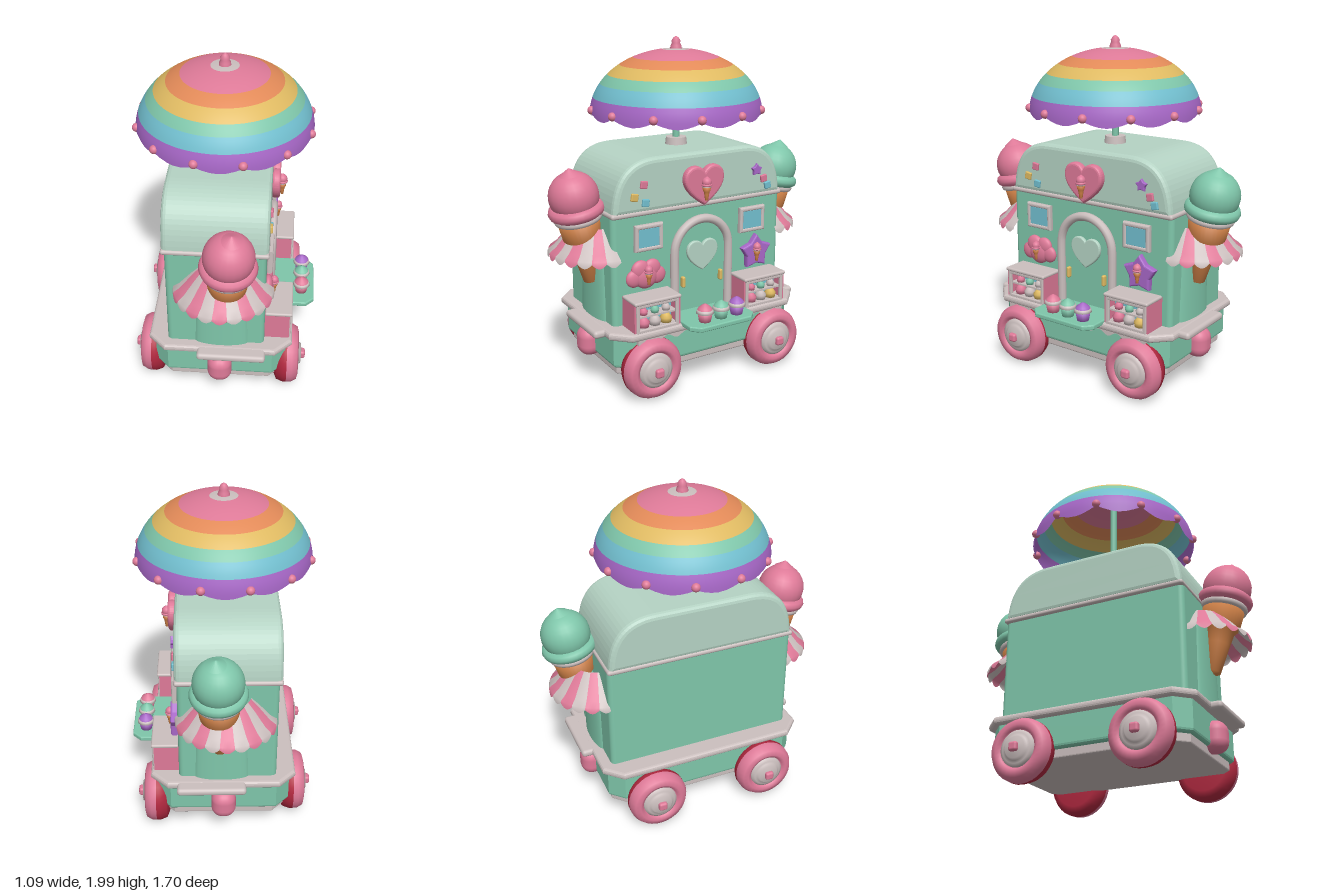
import * as THREE from 'three';
import { RoundedBoxGeometry } from 'three/addons/geometries/RoundedBoxGeometry.js';

const mat = (name, color) => {
  const m = new THREE.MeshStandardMaterial({ color, side: THREE.DoubleSide });
  m.name = name;
  return m;
};
const mint = mat('mint', 0x7fc6aa), pale = mat('pale mint', 0xb5d3c4), pink = mat('pink', 0xde7a98),
  cream = mat('warm grey', 0xcbbfbe), waffle = mat('waffle', 0xd28349), purple = mat('purple', 0xa868c8),
  blue = mat('sky blue', 0x72bfcf), yellow = mat('yellow', 0xdfba62), red = mat('dark red', 0xb0283f),
  orange = mat('orange', 0xe28a58);

const V = (x, y) => new THREE.Vector2(x, y);
function add(parent, name, geo, material, x = 0, y = 0, z = 0) {
  const m = new THREE.Mesh(geo, material);
  m.name = name;
  m.position.set(x, y, z);
  parent.add(m);
  return m;
}
function group(parent, name, x = 0, y = 0, z = 0) {
  const g = new THREE.Group();
  g.name = name;
  g.position.set(x, y, z);
  parent.add(g);
  return g;
}
const rbox = (w, h, d, r) => new RoundedBoxGeometry(w, h, d, 4, r);
const ball = (r) => new THREE.SphereGeometry(r, 24, 16);
const lathe = (pts, n = 32) => new THREE.LatheGeometry(pts.map((p) => V(p[0], p[1])), n);

// Extrusion whose bevel stays inside the given depth
function plate(shape, depth, b = 0) {
  const g = new THREE.ExtrudeGeometry(shape, {
    depth: depth - 2 * b, bevelEnabled: b > 0, bevelSize: b, bevelThickness: b, bevelOffset: -b,
    bevelSegments: 3, curveSegments: 16 });
  return g.translate(0, 0, b);
}
function rectShape(w, h) {
  return new THREE.Shape([V(-w / 2, -h / 2), V(w / 2, -h / 2), V(w / 2, h / 2), V(-w / 2, h / 2)]);
}
function frameShape(w, h, t) {
  const s = rectShape(w, h);
  s.holes.push(rectShape(w - 2 * t, h - 2 * t));
  return s;
}
// Points along an arch: up one side, over the top and down the other
function archPoints(r, y0, y1) {
  const p = [V(r, y0), V(r, (y0 + y1) / 2)];
  for (let i = 0; i <= 16; i++) p.push(V(r * Math.cos((i * Math.PI) / 16), y1 + r * Math.sin((i * Math.PI) / 16)));
  p.push(V(-r, (y0 + y1) / 2), V(-r, y0));
  return p;
}
function heartShape(w) {
  const s = new THREE.Shape();
  s.moveTo(0, -0.46 * w);
  s.bezierCurveTo(0.25 * w, -0.3 * w, 0.5 * w, -0.1 * w, 0.5 * w, 0.14 * w);
  s.bezierCurveTo(0.5 * w, 0.46 * w, 0.12 * w, 0.5 * w, 0, 0.3 * w);
  s.bezierCurveTo(-0.12 * w, 0.5 * w, -0.5 * w, 0.46 * w, -0.5 * w, 0.14 * w);
  s.bezierCurveTo(-0.5 * w, -0.1 * w, -0.25 * w, -0.3 * w, 0, -0.46 * w);
  return s;
}
function starShape(r) {
  const p = [];
  for (let i = 0; i < 10; i++) {
    const a = Math.PI / 2 + (i * Math.PI) / 5, q = i % 2 ? r * 0.64 : r;
    p.push(V(q * Math.cos(a), q * Math.sin(a)));
  }
  return new THREE.Shape(p);
}
// Flat slab with clipped corners, standing between two heights
function octagonSlab(hx, hz, c, y0, y1, b) {
  const s = new THREE.Shape([V(hx, c - hz), V(hx, hz - c), V(hx - c, hz), V(c - hx, hz),
    V(-hx, hz - c), V(-hx, c - hz), V(c - hx, -hz), V(hx - c, -hz)]);
  return plate(s, y1 - y0, b).rotateX(-Math.PI / 2).translate(0, y0, 0);
}

// Ice cream cone, tip at the origin, about 0.69 tall
function iceCream(parent, name, scoopMat, scale, x, y, z) {
  const g = group(parent, name, x, y, z);
  add(g, 'waffleCone', lathe([[0, 0], [0.045, 0.01], [0.07, 0.18], [0.085, 0.26], [0.11, 0.29], [0.125, 0.42], [0, 0.42]]), waffle);
  add(g, 'creamCollar', new THREE.TorusGeometry(0.118, 0.022, 8, 28).rotateX(Math.PI / 2), cream, 0, 0.412, 0);
  add(g, 'scoop', ball(0.143), scoopMat, 0, 0.538, 0);
  add(g, 'scoopRim', new THREE.TorusGeometry(0.126, 0.036, 10, 32).rotateX(Math.PI / 2), scoopMat, 0, 0.458, 0);
  add(g, 'scoopPeak', new THREE.ConeGeometry(0.06, 0.04, 20), scoopMat, 0.01, 0.69, 0);
  g.scale.setScalar(scale);
  return g;
}

// Striped half-ring awning with scalloped edge, opening toward +z
function awning(parent) {
  const g = group(parent, 'awning'), n = 11, span = Math.PI;
  for (let i = 0; i < n; i++) {
    const geo = new THREE.LatheGeometry([V(0.14, 0.97), V(0.18, 0.93), V(0.25, 0.85), V(0.285, 0.825), V(0.29, 0.805)],
      6, -span / 2 + (i * span) / n, span / n);
    const p = geo.attributes.position;
    for (let k = 4; k < p.count; k += 5) p.setY(k, 0.812 - 0.025 * Math.sin((Math.floor(k / 5) / 6) * Math.PI));
    geo.computeVertexNormals();
    add(g, 'awningStripe', geo, i % 2 ? pink : cream);
  }
  return g;
}

function wheel(parent, side, z) {
  const g = group(parent, 'wheel', side > 0 ? 0.39 : -0.435, 0.187, z);
  add(g, 'innerTyre', lathe([[0, -0.075], [0.13, -0.075], [0.165, -0.06], [0.18, -0.02], [0.18, 0]]), red);
  add(g, 'outerTyre', lathe([[0.18, 0], [0.178, 0.03], [0.16, 0.062], [0.13, 0.07], [0.11, 0.06], [0.1, 0.04], [0, 0.04]]), pink);
  add(g, 'hub', lathe([[0.104, 0.04], [0.102, 0.06], [0.085, 0.068], [0.07, 0.07], [0.06, 0.085], [0, 0.092]]), cream);
  add(g, 'hubCap', rbox(0.052, 0.04, 0.052, 0.014), pink, 0, 0.092, 0);
  g.rotation.z = (-side * Math.PI) / 2;
}

function umbrella(parent) {
  const g = group(parent, 'umbrella', -0.02, 0, 0);
  const radii = [0, 0.08, 0.25, 0.33, 0.4, 0.445, 0.488, 0.508];
  [cream, pink, orange, yellow, mint, blue, purple].forEach((m, i) => {
    const a0 = Math.asin(radii[i] / 0.508), a1 = Math.asin(radii[i + 1] / 0.508), pts = [];
    for (let k = 4; k >= 0; k--) {
      const a = a0 + ((a1 - a0) * k) / 4;
      pts.push(V(0.508 * Math.sin(a), 1.55 + 0.38 * Math.cos(a)));
    }
    const geo = new THREE.LatheGeometry(pts, 72);
    if (m === purple) {
      // Scallops hang between the beads and curl slightly inward
      const p = geo.attributes.position;
      for (let k = 0; k < p.count; k += 5) {
        const drop = Math.abs(Math.cos(6 * Math.atan2(p.getX(k), p.getZ(k)))), r = 1 - 0.03 * drop;
        p.setXYZ(k, p.getX(k) * r, 1.575 - 0.036 * drop, p.getZ(k) * r);
      }
    }
    add(g, 'canopyBand', geo, m);
  });
  for (let i = 0; i < 12; i++) {
    const a = ((i + 0.5) * Math.PI) / 6;
    add(g, 'canopyBead', ball(0.025), pink, 0.503 * Math.sin(a), 1.59, 0.503 * Math.cos(a));
  }
  add(g, 'pole', new THREE.CylinderGeometry(0.021, 0.021, 0.55, 16), mint, 0, 1.655, 0);
  add(g, 'poleBase', new THREE.CylinderGeometry(0.06, 0.066, 0.05, 24), cream, 0, 1.387, 0);
  add(g, 'finial', lathe([[0.036, 1.92], [0.032, 1.945], [0.024, 1.96], [0.027, 1.972], [0.016, 1.99], [0, 2]], 16), pink);
}

// Glazed case of cakes
function displayCase(parent, x) {
  const g = group(parent, 'displayCase', x, 0.495, 0);
  add(g, 'caseShell', plate(frameShape(0.296, 0.19, 0.014), 0.145), pink);
  add(g, 'caseTop', rbox(0.3, 0.022, 0.16, 0.01), cream, 0, 0.093, 0.08);
  add(g, 'caseFrame', plate(frameShape(0.276, 0.172, 0.022), 0.02, 0.006), cream, 0, 0, 0.133);
  add(g, 'caseBack', new THREE.BoxGeometry(0.27, 0.165, 0.008), blue, 0, 0, 0.06);
  [-0.068, 0.005].forEach((y) => add(g, 'caseShelf', new THREE.BoxGeometry(0.25, 0.01, 0.08), cream, 0, y, 0.1));
  [[pink, cream, yellow], [pink, mint, cream]].forEach((row, j) => row.forEach((m, i) => {
    const cake = add(g, 'cake', lathe([[0, 0], [0.03, 0], [0.036, 0.03], [0.02, 0.05], [0, 0.058]], 16), m, (i - 1) * 0.073, -0.064 + j * 0.073, 0.11);
    if (j) cake.scale.setScalar(0.72);
  }));
}

// Everything mounted on the serving wall; local z points away from the wall
function servingSide(parent) {
  const g = group(parent, 'servingSide', 0.25, 0, 0);
  g.rotation.y = Math.PI / 2;

  const path = new THREE.CatmullRomCurve3(archPoints(0.186, 0.41, 0.79).map((p) => new THREE.Vector3(p.x, p.y, 0)));
  add(g, 'doorFrame', new THREE.TubeGeometry(path, 64, 0.026, 10), cream, 0, 0, 0.022);
  add(g, 'doorPanel', plate(new THREE.Shape(archPoints(0.18, 0.42, 0.79)), 0.015), mint);
  add(g, 'doorHeart', plate(heartShape(0.21), 0.025, 0.008), pale, 0, 0.76, 0.01);
  [-1, 1].forEach((s) => {
    add(g, 'doorHandle', rbox(0.022, 0.065, 0.03, 0.008), yellow, s * 0.13, 0.61, 0.025);

    // Windows and cases either side of the door
    add(g, 'windowFrame', plate(frameShape(0.18, 0.155, 0.025), 0.035, 0.01), cream, s * 0.355, 0.92, 0);
    add(g, 'windowPane', rbox(0.134, 0.11, 0.008, 0.003), blue, s * 0.355, 0.92, 0.026);
    displayCase(g, s * 0.37);
  });

  // Serving shelf with cupcakes
  add(g, 'shelf', octagonSlab(0.22, 0.15, 0.05, 0.398, 0.428, 0.008), mint, 0, 0, 0.145);
  [[-0.1, pink], [0.01, mint], [0.12, purple]].forEach(([x, m]) => {
    const c = group(g, 'cupcake', x, 0.425, 0.215);
    add(c, 'cup', lathe([[0, 0], [0.034, 0], [0.044, 0.055], [0, 0.055]], 20), m);
    add(c, 'icing', lathe([[0.04, 0.05], [0.052, 0.055], [0.048, 0.07], [0.035, 0.08]], 20), cream);
    add(c, 'frosting', lathe([[0.046, 0.066], [0.038, 0.085], [0.015, 0.103], [0, 0.11]], 20), m);
  });

  // Cloud, star and heart signs
  const cloud = group(g, 'cloudSign', -0.37, 0.7, 0.01);
  [[-0.075, -0.015, 0.052], [0.075, -0.015, 0.052], [-0.035, 0.03, 0.058], [0.04, 0.03, 0.055], [0, -0.01, 0.075]].forEach(
    ([x, y, r]) => add(cloud, 'cloudPuff', ball(r), pink, x, y, 0).scale.set(1, 1, 0.5));
  add(g, 'starSign', plate(starShape(0.112), 0.045, 0.012), purple, 0.385, 0.71, 0);
  add(g, 'heartSign', plate(heartShape(0.265), 0.05, 0.016), pink, 0, 1.185, 0.008);
  iceCream(g, 'heartIceCream', pink, 0.2, 0, 1.095, 0.068);
  iceCream(g, 'cloudIceCream', pink, 0.17, -0.37, 0.645, 0.045);
  iceCream(g, 'starIceCream', pink, 0.17, 0.38, 0.655, 0.05);

  // Sprinkles on the roof side
  [[-0.38, 1.225, pink], [-0.44, 1.16, yellow], [-0.37, 1.12, blue], [0.44, 1.16, pink], [0.47, 1.115, blue]].forEach(([x, y, m]) => {
    add(g, 'sprinkle', rbox(0.044, 0.044, 0.03, 0.006), m, x, y, 0.012).rotation.z = x * 0.4;
  });
  add(g, 'sprinkleStar', plate(starShape(0.038), 0.026, 0.005), purple, 0.385, 1.22, 0.005);

  // Wavy icing edge along the chassis
  const wave = [V(-0.5, 0.38)];
  for (let i = 0; i <= 64; i++) wave.push(V(-0.5 + i / 64, 0.356 - 0.014 * Math.cos((i * Math.PI) / 4)));
  wave.push(V(0.5, 0.38));
  add(g, 'icingEdge', plate(new THREE.Shape(wave), 0.03), cream, 0, 0, 0.125);
}

export function createModel() {
  const root = new THREE.Group();
  root.name = 'iceCreamCart';

  // Chassis
  add(root, 'floor', octagonSlab(0.36, 0.58, 0.07, 0.14, 0.2, 0.01), cream, -0.01);
  add(root, 'chassis', octagonSlab(0.39, 0.605, 0.08, 0.19, 0.39, 0.02), mint, -0.01);
  add(root, 'chassisTrim', octagonSlab(0.425, 0.64, 0.1, 0.37, 0.415, 0.018), cream, -0.01);

  // Cabin
  add(root, 'cabin', rbox(0.57, 0.7, 1.15, 0.03), mint, -0.035, 0.73, 0);
  add(root, 'roofTrim', rbox(0.605, 0.03, 1.16, 0.014), cream, -0.037, 1.06, 0);

  // Roof, rounded along its length
  const s = new THREE.Shape();
  s.moveTo(-0.57, 1.06);
  s.lineTo(0.57, 1.06);
  s.bezierCurveTo(0.56, 1.28, 0.46, 1.37, 0.29, 1.37);
  s.lineTo(-0.29, 1.37);
  s.bezierCurveTo(-0.46, 1.37, -0.56, 1.28, -0.57, 1.06);
  add(root, 'roof', plate(s, 0.6, 0.03).rotateY(Math.PI / 2), pale, -0.337, 0, 0);

  servingSide(root);
  umbrella(root);

  [0.41, -0.43].forEach((z) => wheel(root, 1, z));
  [0.37, -0.34].forEach((z) => wheel(root, -1, z));

  // Both ends: bumper, ledge, soft column, awning and giant cone
  [1, -1].forEach((e) => {
    const end = group(root, e > 0 ? 'frontEnd' : 'rearEnd');
    add(end, 'bumper', rbox(0.145, 0.18, 0.15, 0.065), pink, -0.01, 0.25, e * 0.605);
    add(end, 'endLedge', rbox(0.4, 0.045, 0.2, 0.02), cream, 0.06, 0.39, e * 0.6);
    add(end, 'endColumn', new THREE.CylinderGeometry(0.14, 0.16, 0.5, 24), mint, 0, 0.65, e * 0.565).scale.z = 0.28;
    const a = awning(end);
    a.position.set(e > 0 ? 0.01 : -0.025, 0, e * 0.545);
    if (e < 0) a.rotation.y = Math.PI;
    const cone = iceCream(end, 'giantIceCream', e > 0 ? pink : mint, 1, e > 0 ? 0.025 : 0.01, 0.63, e * 0.6);
    cone.rotation.set(e * 0.2, 0, e > 0 ? -0.05 : -0.02);
  });
  return root;
}
